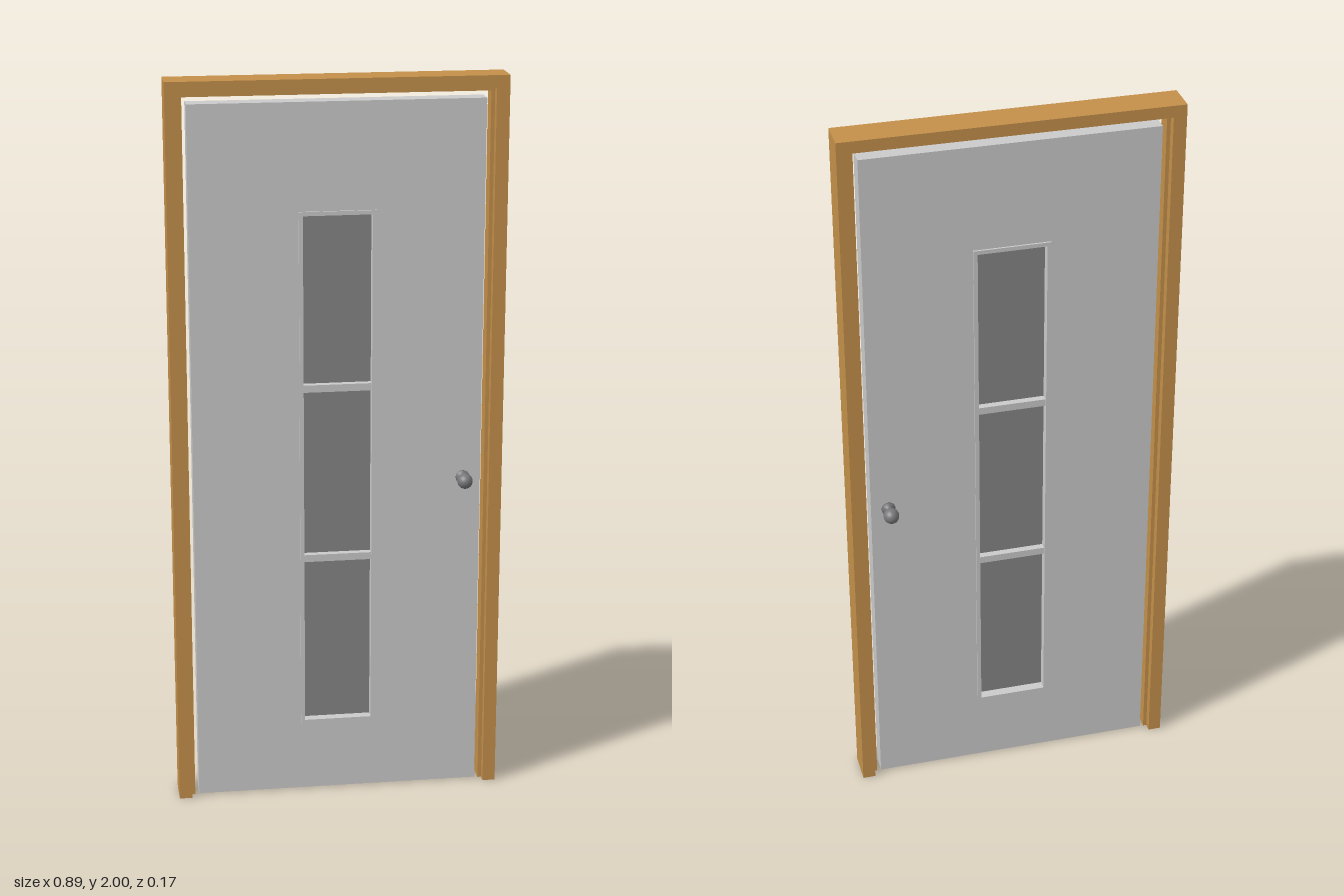
import * as THREE from 'three';

const wood = new THREE.MeshStandardMaterial({ name: 'wood', color: 0xc4904a });
const paint = new THREE.MeshStandardMaterial({ name: 'greyPaint', color: 0xcacaca });
const glass = new THREE.MeshStandardMaterial({ name: 'smokedGlass', color: 0x868686 });
const metal = new THREE.MeshStandardMaterial({ name: 'knobMetal', color: 0x77777a });

function add(parent, name, geometry, material, x = 0, y = 0, z = 0) {
  const mesh = new THREE.Mesh(geometry, material);
  mesh.name = name;
  mesh.position.set(x, y, z);
  parent.add(mesh);
  return mesh;
}

function rect(path, x, y0, y1) {
  path.moveTo(-x, y0);
  path.lineTo(x, y0);
  path.lineTo(x, y1);
  path.lineTo(-x, y1);
  path.closePath();
  return path;
}

// Rectangular panel with a rectangular opening, centred on z = 0
function ring(outer, inner, depth) {
  const shape = rect(new THREE.Shape(), ...outer);
  shape.holes.push(rect(new THREE.Path(), ...inner));
  return new THREE.ExtrudeGeometry(shape, { depth, bevelEnabled: false }).translate(0, 0, -depth / 2);
}

// Three-sided surround, open at the floor
function surround(outerX, outerY, innerX, innerY, depth) {
  const shape = new THREE.Shape([
    [-outerX, 0], [-innerX, 0], [-innerX, innerY], [innerX, innerY],
    [innerX, 0], [outerX, 0], [outerX, outerY], [-outerX, outerY],
  ].map(([x, y]) => new THREE.Vector2(x, y)));
  return new THREE.ExtrudeGeometry(shape, { depth, bevelEnabled: false }).translate(0, 0, -depth / 2);
}

export function createModel() {
  const door = new THREE.Group();
  door.name = 'door';

  // Wooden frame with a narrower inner lining
  add(door, 'frame', surround(0.447, 2, 0.412, 1.968, 0.09), wood);
  add(door, 'frameLining', surround(0.412, 1.968, 0.402, 1.957, 0.045), wood);

  // Door leaf, with a raised trim around the tall window
  add(door, 'leaf', ring([0.391, 0.003, 1.939], [0.098, 0.205, 1.647], 0.05), paint);
  add(door, 'windowTrim', ring([0.103, 0.2, 1.652], [0.092, 0.211, 1.641], 0.06), paint);
  add(door, 'windowPane', new THREE.BoxGeometry(0.19, 1.436, 0.008), glass, 0, 0.926, 0);
  for (const y of [0.688, 1.17]) {
    add(door, 'glazingBar', new THREE.BoxGeometry(0.184, 0.02, 0.046), paint, 0, y, 0);
  }

  // Knob on each face: rosette, stem and slightly elongated ball
  for (const side of [1, -1]) {
    const knob = new THREE.Group();
    knob.name = side > 0 ? 'frontKnob' : 'backKnob';
    const profile = [[0, 0], [0.019, 0], [0.019, 0.004], [0.01, 0.007], [0.009, 0.02]]
      .map(([r, h]) => new THREE.Vector2(r, h));
    add(knob, 'knobStem', new THREE.LatheGeometry(profile, 24).rotateX(Math.PI / 2), metal);
    add(knob, 'knobBall', new THREE.SphereGeometry(0.021, 24, 16).scale(1, 1, 1.1), metal, 0, 0, 0.036);
    knob.position.set(0.343, 0.905, side * 0.025);
    if (side < 0) knob.rotation.y = Math.PI;
    door.add(knob);
  }

  return door;
}
